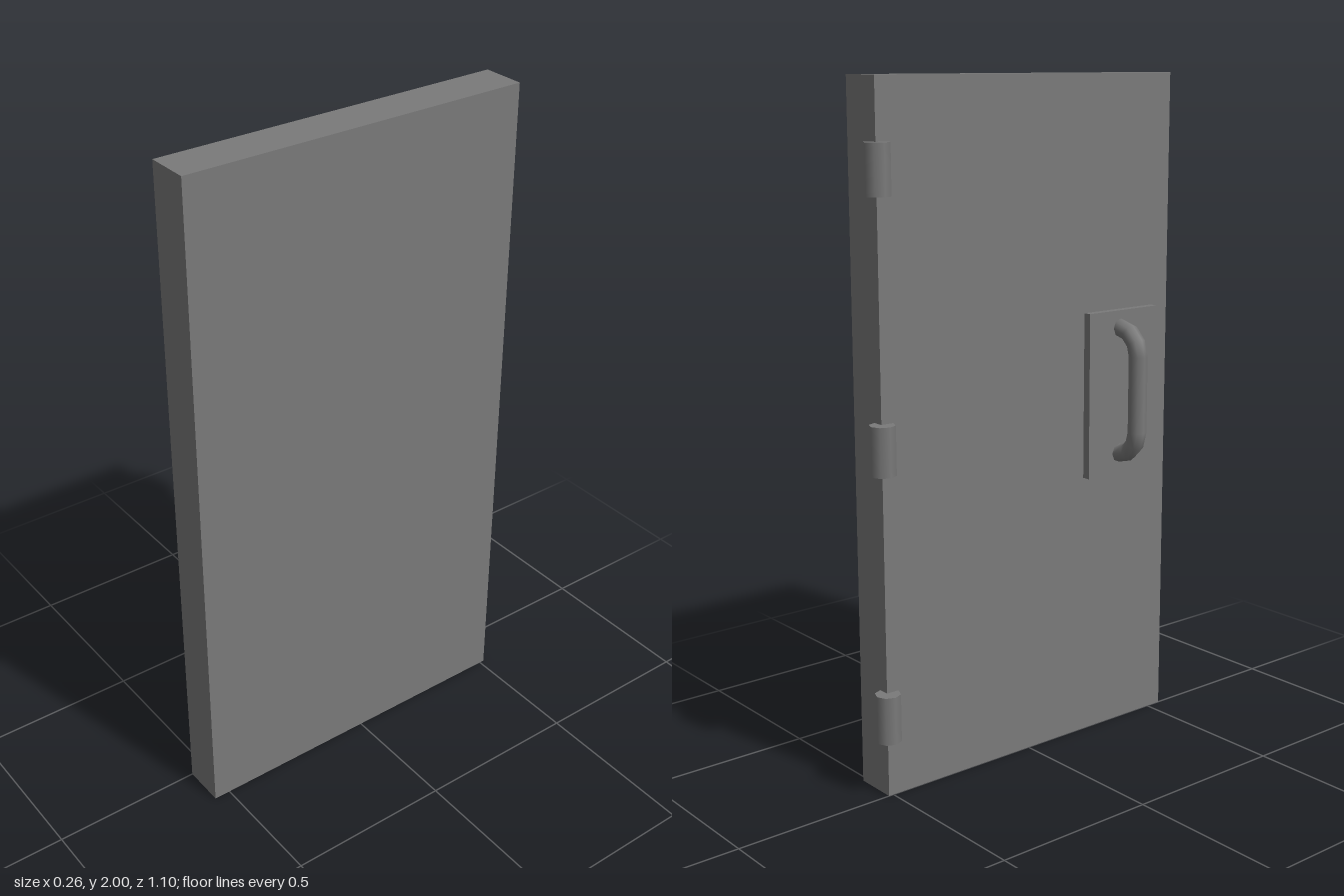
import * as THREE from 'three';

export function createModel() {
  const model = new THREE.Group();
  const steel = new THREE.MeshStandardMaterial({ color: 0x7a7a7a });
  steel.name = 'grey steel';

  function add(parent, name, geometry, x, y, z) {
    const mesh = new THREE.Mesh(geometry, steel);
    mesh.name = name;
    mesh.position.set(x, y, z);
    parent.add(mesh);
    return mesh;
  }

  // Door slab
  add(model, 'doorSlab', new THREE.BoxGeometry(0.13, 2, 1.065), 0.065, 1, 0.0175);

  // Hinge barrels along the back edge
  const barrel = new THREE.CylinderGeometry(0.037, 0.037, 0.14, 8);
  [0.24, 1.01, 1.76].forEach((y) => add(model, 'hinge', barrel, -0.003, y, -0.514));

  // Backing plate and lock cylinder
  add(model, 'handlePlate', new THREE.BoxGeometry(0.025, 0.5, 0.27), -0.0125, 1.06, 0.35);
  const lock = add(model, 'lockCylinder', new THREE.CylinderGeometry(0.03, 0.03, 0.03, 12), -0.025, 1.06, 0.43);
  lock.rotation.z = Math.PI / 2;

  // Pull handle: straight grip with a quarter bend at each end
  const handle = new THREE.Group();
  handle.name = 'pullHandle';
  handle.position.set(-0.025, 1.065, 0.338);
  model.add(handle);
  const tube = 0.028, bend = 0.077, half = 0.115;
  add(handle, 'grip', new THREE.CylinderGeometry(tube, tube, half * 2, 8, 1, true), -bend, 0, 0);
  const elbow = new THREE.TorusGeometry(bend, tube, 8, 3, Math.PI / 2);
  add(handle, 'upperBend', elbow, 0, half, 0).rotation.z = Math.PI / 2;
  add(handle, 'lowerBend', elbow, 0, -half, 0).rotation.z = Math.PI;

  return model;
}
